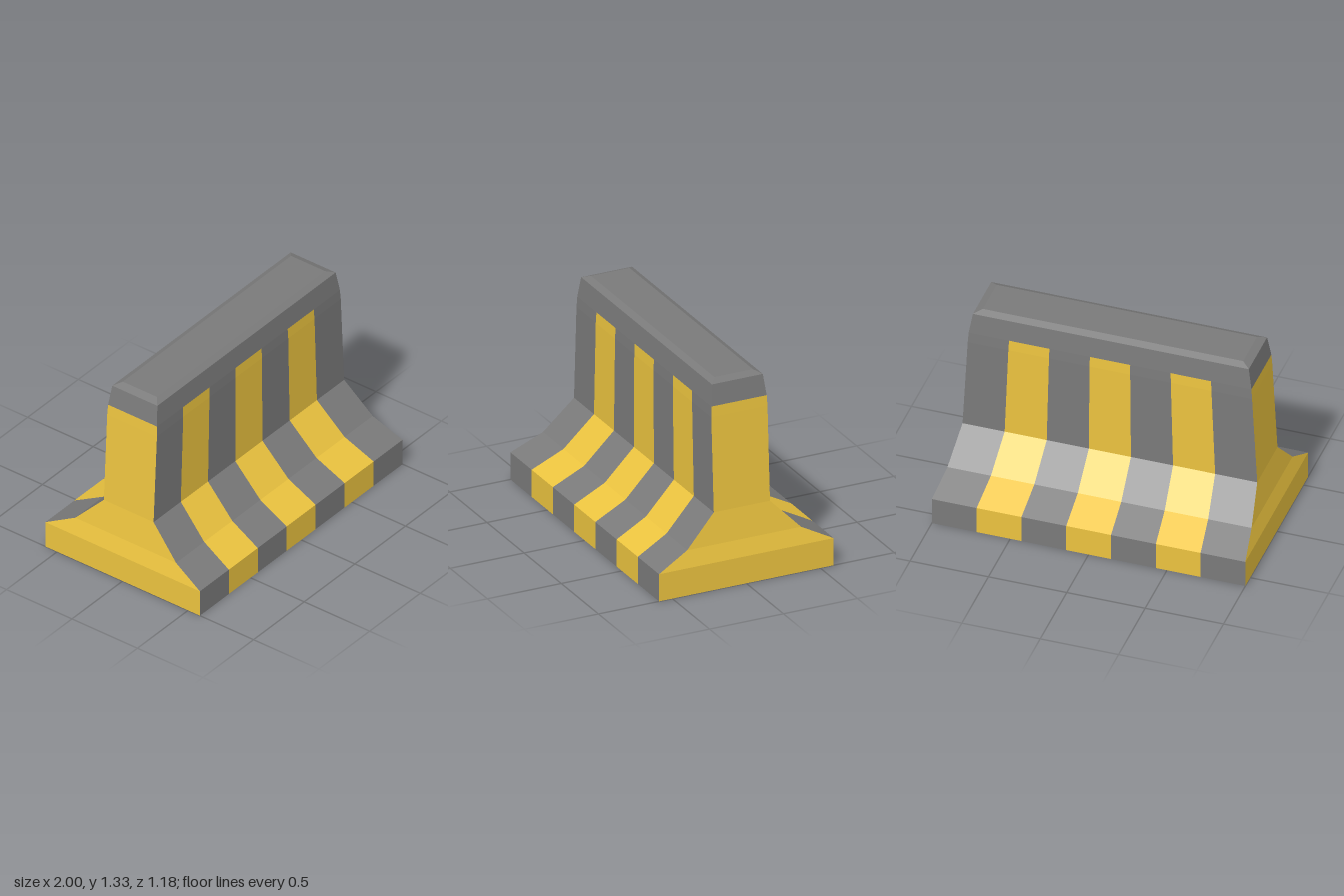
import * as THREE from 'three';

// Cross-section levels from the ground up: [y, half length in x, half depth in z]
const LEVELS = [
  [0, 1, 0.59],
  [0.18, 1, 0.59],
  [0.285, 0.97, 0.385],
  [0.485, 0.94, 0.19],
  [1.1, 0.907, 0.19],
  [1.17, 0.902, 0.187],
  [1.305, 0.88, 0.172],
  [1.325, 0.83, 0.13],
];
const PAINT_TOP = 1.17;
const COLUMNS = 7;

// Adds a quad (corners counter-clockwise from outside)
function quad(list, a, b, c, d) {
  list.push(...a, ...b, ...c, ...a, ...c, ...d);
}

// Adds a quad and its copy turned half a revolution about y
function quadPair(list, ...corners) {
  quad(list, ...corners);
  quad(list, ...corners.map(([x, y, z]) => [-x, y, -z]));
}

function makeMesh(name, positions, color) {
  const geometry = new THREE.BufferGeometry();
  geometry.setAttribute('position', new THREE.Float32BufferAttribute(positions, 3));
  geometry.computeVertexNormals();
  const mesh = new THREE.Mesh(geometry, new THREE.MeshStandardMaterial({ color, flatShading: true }));
  mesh.name = name;
  return mesh;
}

export function createModel() {
  const concrete = [], stripes = [], ends = [];

  for (let i = 0; i < LEVELS.length - 1; i++) {
    const [y0, x0, z0] = LEVELS[i];
    const [y1, x1, z1] = LEVELS[i + 1];
    const painted = y1 <= PAINT_TOP;

    // Long faces, divided into alternating columns that taper with the body
    for (let c = 0; c < COLUMNS; c++) {
      const l = (2 * c) / COLUMNS - 1;
      const r = (2 * (c + 1)) / COLUMNS - 1;
      quadPair(painted && c % 2 === 1 ? stripes : concrete,
        [l * x0, y0, z0], [r * x0, y0, z0], [r * x1, y1, z1], [l * x1, y1, z1]);
    }

    // End faces, painted below the cap
    quadPair(painted ? ends : concrete,
      [x0, y0, z0], [x0, y0, -z0], [x1, y1, -z1], [x1, y1, z1]);
  }

  // Flat top and underside
  const [ty, tx, tz] = LEVELS[LEVELS.length - 1];
  quad(concrete, [-tx, ty, tz], [tx, ty, tz], [tx, ty, -tz], [-tx, ty, -tz]);
  const [by, bx, bz] = LEVELS[0];
  quad(concrete, [-bx, by, -bz], [bx, by, -bz], [bx, by, bz], [-bx, by, bz]);

  const group = new THREE.Group();
  group.name = 'roadBarrier';
  group.add(
    makeMesh('concreteBody', concrete, 0x7a7a7a),
    makeMesh('paintedStripes', stripes, 0xebc33f),
    makeMesh('paintedEnds', ends, 0xebc33f),
  );
  return group;
}
